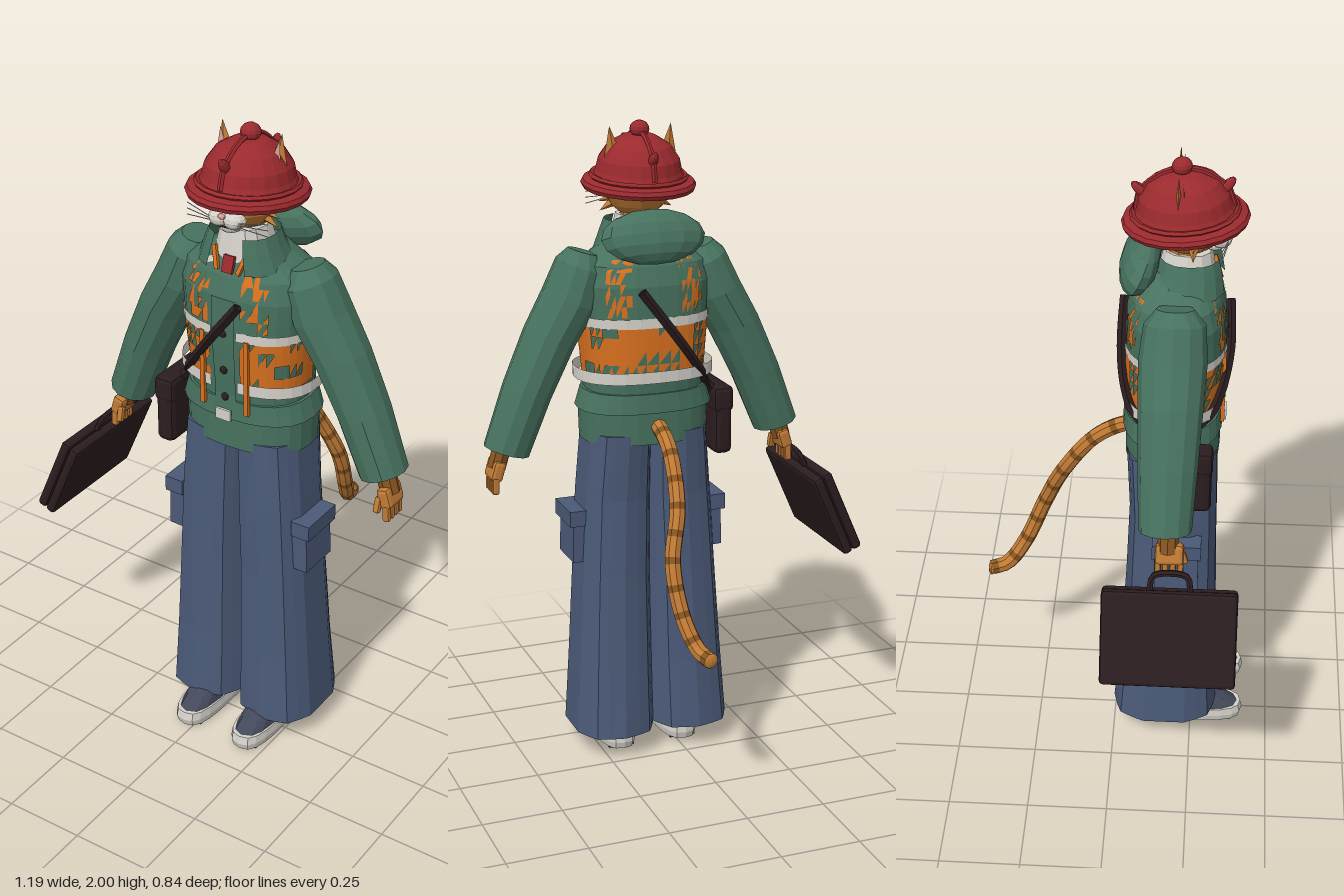
import * as THREE from 'three';
import { RoundedBoxGeometry } from 'three/addons/geometries/RoundedBoxGeometry.js';

const colours = {
  jacketGreen: 0x47725f, denim: 0x4b5a78, hatRed: 0x9b2a2e, vestOrange: 0xd9711f, fur: 0xc07a35,
  furStripe: 0x87541f, paleGrey: 0xd5d2ca, darkLeather: 0x2b1d1f, earPink: 0xd99a94, shoeGrey: 0x43485a,
};
const M = {};
for (const [name, color] of Object.entries(colours)) {
  M[name] = new THREE.MeshStandardMaterial({ color, flatShading: true, side: THREE.DoubleSide });
  M[name].name = name;
}
const V = (x, y, z) => new THREE.Vector3(x, y, z);
const TAU = Math.PI * 2;
const spow = (v, e) => Math.sign(v) * Math.abs(v) ** e;
const hash = (i, j) => { const h = Math.sin(i * 12.99 + j * 78.23) * 43758.5; return h - Math.floor(h); };

// Shell through rounded rings listed from bottom to top: [y, cx, cz, rx, rz, slope]
function loft(rings, { n = 16, p = 2.4, from = 0, to = TAU, fold = 0, keep = () => true } = {}) {
  const pos = [], idx = [], closed = to - from > 6.28;
  for (const [y, cx, cz, rx, rz, slope = 0] of rings)
    for (let j = 0; j <= n; j++) {
      const t = from + (to - from) * j / n, k = 1 - fold * (j % 2);
      const x = rx * k * spow(Math.sin(t), 2 / p), z = rz * k * spow(Math.cos(t), 2 / p);
      pos.push(cx + x, y + slope * x, cz + z);
    }
  const w = n + 1;
  for (let i = 0; i < rings.length - 1; i++)
    for (let j = 0; j < n; j++) {
      const a = i * w + j, d = a + w;
      if (keep(i, j, 0)) idx.push(a, a + 1, d + 1);
      if (keep(i, j, 1)) idx.push(a, d + 1, d);
    }
  if (closed)
    for (const [i, up] of [[0, false], [rings.length - 1, true]]) {
      const [y, cx, cz] = rings[i], c = pos.length / 3, a = i * w;
      pos.push(cx, y, cz);
      for (let j = 0; j < n; j++) up ? idx.push(c, a + j, a + j + 1) : idx.push(c, a + j + 1, a + j);
    }
  const g = new THREE.BufferGeometry();
  g.setAttribute('position', new THREE.Float32BufferAttribute(pos, 3));
  g.setIndex(idx);
  g.computeVertexNormals();
  return g;
}

const torso = [
  [1.03, 0, .17, .2, .145], [1.13, 0, .17, .203, .145], [1.16, 0, .17, .185, .138], [1.25, 0, .17, .186, .145],
  [1.4, 0, .175, .2, .15], [1.52, 0, .175, .21, .147], [1.58, 0, .175, .195, .13], [1.625, 0, .18, .13, .105],
  [1.66, 0, .185, .085, .085]];
// Torso ring at any height, grown by a factor
function torsoAt(y, grow = 1) {
  let i = 0;
  while (i < torso.length - 2 && torso[i + 1][0] < y) i++;
  const a = torso[i], b = torso[i + 1], f = (y - a[0]) / (b[0] - a[0]);
  const r = a.map((v, k) => v + (b[k] - v) * f);
  return [y, 0, r[2], r[3] * grow, r[4] * grow];
}
const band = (y0, y1, grow, steps, opts) =>
  loft(Array.from({ length: steps + 1 }, (_, i) => torsoAt(y0 + (y1 - y0) * i / steps, grow)), opts);

export function createModel() {
  const root = new THREE.Group();
  const body = new THREE.Group();
  body.name = 'figure';
  body.position.x = .08;
  root.add(body);
  const add = (name, geo, mat, pos = [0, 0, 0], rot = [0, 0, 0], scale = [1, 1, 1], parent = body) => {
    const m = new THREE.Mesh(geo, mat);
    m.name = name;
    m.position.set(...pos); m.rotation.set(...rot); m.scale.set(...scale);
    parent.add(m);
    return m;
  };
  const box = (x, y, z) => new THREE.BoxGeometry(x, y, z);
  const ball = new THREE.SphereGeometry(1, 12, 8);
  const tube = (pts, r, n = 12, sides = 4) => new THREE.TubeGeometry(new THREE.CatmullRomCurve3(pts), n, r, sides);

  // Jacket body, hem, collar and hood
  add('jacket', loft(torso, { n: 24 }), M.jacketGreen);
  add('jacketHem', band(1.13, 1.19, 1.05, 1, { n: 24 }), M.jacketGreen);
  add('placket', band(1.13, 1.52, 1.035, 5, { n: 6, from: -.13, to: .13 }), M.jacketGreen);
  add('collar', loft([[1.6, 0, .2, .14, .12], [1.66, 0, .21, .115, .1], [1.7, 0, .21, .1, .09]],
    { n: 14, from: .4, to: TAU - .4 }), M.jacketGreen);
  add('hood', ball, M.jacketGreen, [0, 1.665, .065], [.45, 0, 0], [.165, .085, .055]);
  add('shirtCollar', loft([[1.62, 0, .2, .09, .09], [1.715, 0, .205, .065, .07]], { n: 12 }), M.paleGrey);
  add('tie', box(.035, .05, .012), M.hatRed, [0, 1.615, .295], [-.3, 0, 0]);
  add('zipTag', box(.05, .035, .008), M.paleGrey, [0, 1.145, .328]);
  for (const y of [1.2, 1.29, 1.41]) add('snap', ball, M.darkLeather, [0, y, torsoAt(y, 1.04)[4] + .173], [0, 0, 0], [.012, .012, .008]);

  // Safety vest showing through in ragged patches
  add('vestBand', band(1.24, 1.41, 1.018, 4, { n: 40, from: .2, to: TAU - .2,
    keep: (i, j, k) => hash(i + k * .3, Math.floor(j / 2)) > .24 }), M.vestOrange);
  for (const c of [.42, 2.6, 3.68, 5.86])
    add('vestStrap', band(1.43, 1.6, 1.015, 5, { n: 5, from: c - .22, to: c + .22,
      keep: (i, j, k) => hash(i + c, j + k * .5) > .58 }), M.vestOrange);
  add('lowerReflector', loft([1.225, 1.262].map(y => [y, 0, .17, .218, .155]), { n: 28, from: .15, to: TAU - .15 }), M.paleGrey);
  add('upperReflector', band(1.395, 1.425, 1.025, 1, { n: 28, from: .15, to: TAU - .15 }), M.paleGrey);

  for (const s of [-1, 1]) {
    // Orange front edges and small collar trims
    add('vestEdge', box(.014, .24, .012), M.vestOrange, [s * .075, 1.28, .32]);
    add('collarTrim', box(.035, .02, .01), M.paleGrey, [s * .07, 1.61, .29], [-.3, 0, s * -.4]);
    add('collarEdge', box(.012, .07, .012), M.vestOrange, [s * .045, 1.625, .292], [-.3, 0, s * -.3]);

    // Sleeve
    const arm = [
      [1.02, .445, .165, .068, .078, .3], [1.2, .375, .167, .072, .088, .35], [1.36, .3, .17, .076, .095, .38],
      [1.47, .235, .172, .08, .1, .4], [1.57, .195, .175, .073, .09, .38], [1.615, .185, .175, .045, .055, .3]];
    add('sleeve', loft(arm.map(([y, x, z, rx, rz, k]) => [y, s * x, z, rx, rz, s * k]), { n: 12, p: 2 }), M.jacketGreen);

    // Paw hand
    const hand = new THREE.Group();
    hand.name = 'hand';
    hand.position.set(s * .475, .965, .18);
    hand.rotation.z = s * .3;
    body.add(hand);
    add('wrist', new THREE.CylinderGeometry(.03, .03, .07, 8), M.furStripe, [0, .035, -.005], [0, 0, 0], [1, 1, 1], hand);
    add('palm', new RoundedBoxGeometry(.04, .065, .085, 1, .012), M.fur, [0, -.005, 0], [0, 0, 0], [1, 1, 1], hand);
    for (let i = 0; i < 4; i++)
      add('finger', new RoundedBoxGeometry(.022, .055, .018, 1, .006), M.fur, [-s * .004, -.05, -.033 + i * .022], [0, 0, -s * .25], [1, 1, 1], hand);
    add('thumb', new RoundedBoxGeometry(.02, .05, .02, 1, .006), M.fur, [-s * .022, -.02, .04], [-.3, 0, -s * .3], [1, 1, 1], hand);

    // Wide trouser leg with folds
    const leg = [
      [.075, .125, .165, .132, .167], [.3, .118, .17, .124, .152], [.6, .11, .175, .114, .14],
      [.85, .1, .178, .11, .134], [1.06, .09, .17, .102, .136]];
    add('trouserLeg', loft(leg.map(([y, x, ...r]) => [y, s * x, ...r]), { n: 20, p: 2.6, fold: .035 }), M.denim);
    add('cargoPocket', box(.05, .16, .135), M.denim, [s * .222, .72, .195], [0, 0, s * .03]);
    add('pocketFlap', box(.062, .05, .15), M.denim, [s * .228, .785, .195]);

    // Shoe
    const x = s * .105;
    add('sole', loft([[.004, x, .245, .058, .17], [.025, x, .245, .062, .176], [.05, x, .243, .06, .172]], { n: 18, p: 2.8 }), M.paleGrey);
    add('shoeUpper', loft([[.048, x, .243, .056, .165], [.075, x, .225, .052, .14], [.12, x, .16, .042, .075]], { n: 14, p: 2.6 }), M.shoeGrey);
    for (let i = 0; i < 8; i++) add('tread', box(.085, .006, .018), M.darkLeather, [x, .003, .11 + i * .038]);

    // Ear
    add('ear', new THREE.ConeGeometry(.04, .13, 4), M.fur, [s * .09, 1.92, .175], [0, 0, s * -.12], [1, 1, .35]);
    const tri = new THREE.Shape([new THREE.Vector2(-.026, -.05), new THREE.Vector2(.026, -.05), new THREE.Vector2(0, .055)]);
    add('innerEar', new THREE.ShapeGeometry(tri), M.earPink, [s * .09, 1.915, .192], [-.1, 0, s * -.12]);

    // Face halves
    add('muzzle', ball, M.paleGrey, [s * .024, 1.757, .298], [0, 0, 0], [.034, .027, .032]);
    add('eye', ball, M.paleGrey, [s * .042, 1.793, .293], [0, 0, 0], [.026, .017, .012]);
    add('pupil', ball, M.darkLeather, [s * .04, 1.793, .303], [0, 0, 0], [.008, .012, .005]);
    for (let i = 0; i < 3; i++) {
      add('cheekTuft', new THREE.ConeGeometry(.02, .06, 4), M.fur, [s * .09, 1.785 - i * .022, .22], [0, 0, -s * (1.6 + i * .25)]);
      add('whisker', box(.1, .002, .002), M.paleGrey, [s * .085, 1.765 - i * .011, .31], [0, s * .2, s * (.15 - i * .15)]);
    }
  }

  // Head
  add('head', new THREE.SphereGeometry(1, 14, 10), M.fur, [0, 1.795, .205], [0, 0, 0], [.1, .09, .107]);
  add('neck', new THREE.CylinderGeometry(.055, .06, .12, 10), M.fur, [0, 1.7, .195]);
  add('chin', ball, M.paleGrey, [0, 1.732, .28], [0, 0, 0], [.035, .022, .035]);
  add('nose', ball, M.earPink, [0, 1.773, .327], [0, 0, 0], [.012, .008, .008]);
  add('mouth', box(.03, .004, .004), M.darkLeather, [0, 1.738, .316]);

  // Domed hat with brim, ridge and knob
  const hat = new THREE.Group();
  hat.name = 'hat';
  hat.position.set(0, 1.8, .195);
  hat.rotation.x = -.08;
  body.add(hat);
  const dome = [[.1, -.01], [.168, -.005], [.174, .008], [.168, .02], [.14, .028], [.13, .05], [.122, .085], [.095, .125], [.05, .152], [0, .158]]
    .map(p => new THREE.Vector2(...p));
  add('hatShell', new THREE.LatheGeometry(dome, 20), M.hatRed, [0, 0, 0], [0, 0, 0], [1, 1, 1.07], hat);
  add('brimRing', new THREE.TorusGeometry(.142, .009, 5, 20), M.hatRed, [0, .032, 0], [Math.PI / 2, 0, 0], [1, 1.07, 1], hat);
  add('hatRidge', tube([V(0, .04, .142), V(0, .1, .126), V(0, .155, .055), V(0, .164, 0), V(0, .155, -.055), V(0, .1, -.126), V(0, .04, -.142)], .008, 16, 5),
    M.hatRed, [0, 0, 0], [0, 0, 0], [1, 1, 1], hat);
  for (const s of [-1, 1]) add('hatVent', ball, M.hatRed, [0, .102, s * .122], [s * .75, 0, 0], [.014, .036, .016], hat);
  add('hatKnob', ball, M.hatRed, [0, .172, 0], [0, 0, 0], [.03, .026, .03], hat);

  // Shoulder bag with strap front and back
  add('shoulderBag', new RoundedBoxGeometry(.06, .215, .21, 1, .018), M.darkLeather, [-.24, 1.06, .19]);
  add('bagFlap', new RoundedBoxGeometry(.068, .08, .215, 1, .015), M.darkLeather, [-.24, 1.13, .19]);
  for (const side of [1, -1]) {
    const pts = [];
    for (let i = 0; i <= 6; i++) {
      const x = .055 - .25 * i / 6, y = 1.51 - .33 * i / 6, [, , cz, rx, rz] = torsoAt(y, 1.085);
      pts.push(V(x, y, cz + side * rz * (1 - Math.min(1, Math.abs(x / rx)) ** 2.4) ** (1 / 2.4)));
    }
    pts.push(V(-.235, 1.14, .19 + side * .06));
    add('bagStrap', tube(pts, .014, 20), M.darkLeather);
  }

  // Briefcase hanging from the right hand
  const bag = new THREE.Group();
  bag.name = 'briefcase';
  bag.position.set(-.595, .74, .185);
  bag.rotation.z = -.415;
  body.add(bag);
  for (const s of [-1, 1])
    add('caseHalf', new RoundedBoxGeometry(.034, .29, .4, 1, .012), M.darkLeather, [s * .0165, 0, 0], [0, 0, 0], [1, 1, 1], bag);
  add('caseHandle', tube([V(0, .14, -.06), V(0, .185, -.05), V(0, .195, 0), V(0, .185, .05), V(0, .14, .06)], .01, 12, 6),
    M.darkLeather, [0, 0, 0], [0, 0, 0], [1, 1, 1], bag);

  // Striped tail
  const tail = tube([V(0, 1.09, .06), V(0, 1.08, .01), V(0, 1.03, -.07), V(.015, .89, -.17), V(.055, .735, -.235),
    V(.045, .58, -.3), V(.02, .5, -.36), V(.005, .488, -.41)], .025, 40, 8);
  for (let i = 0; i < 40; i++) tail.addGroup(i * 48, 48, i % 4 === 3 ? 1 : 0);
  add('tail', tail, [M.fur, M.furStripe]);
  add('tailTip', ball, M.fur, [.005, .488, -.41], [0, 0, 0], [.024, .024, .012]);
  return root;
}
